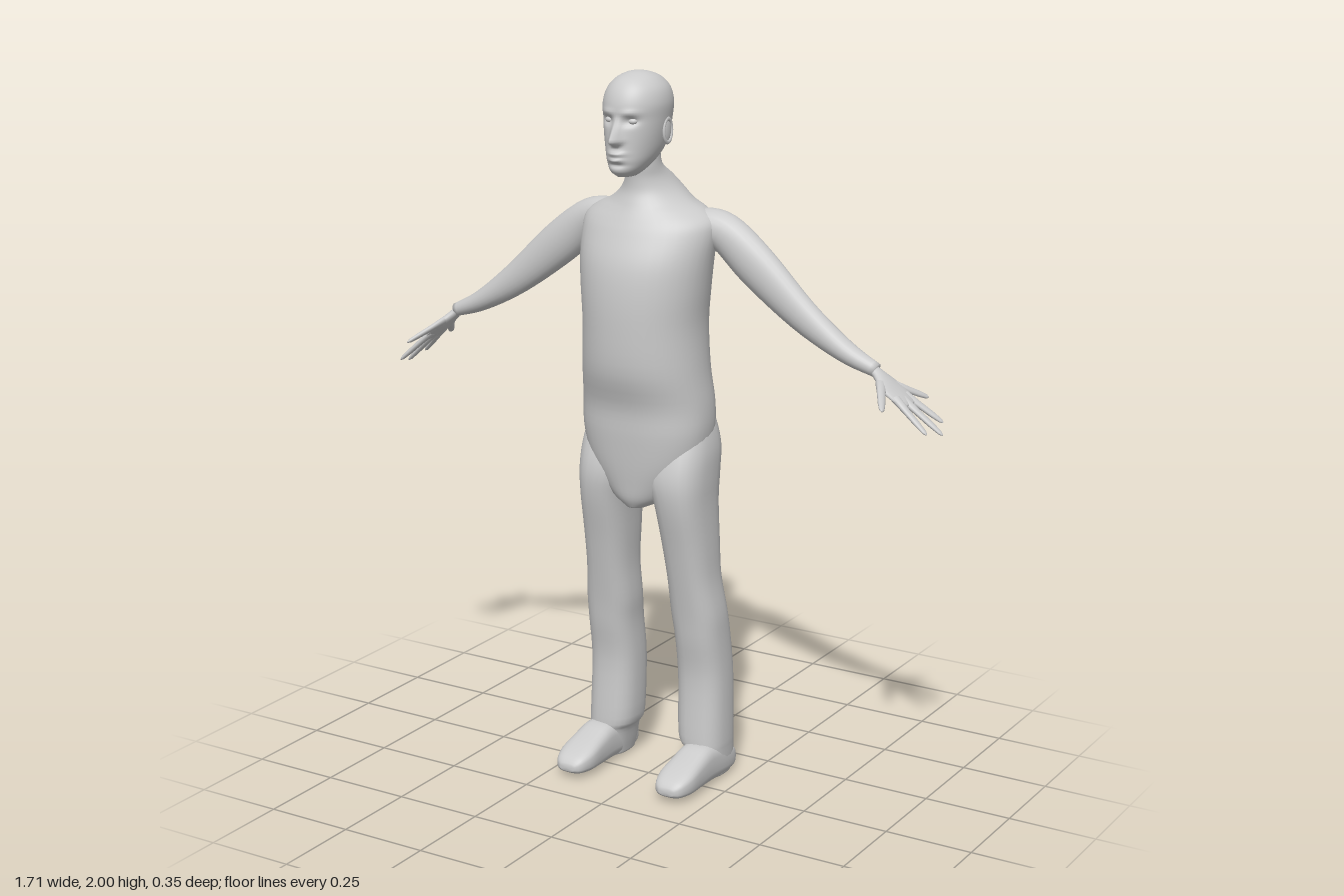
import * as THREE from 'three';

const MAT = new THREE.MeshStandardMaterial({ color: 0xcccccc, side: THREE.DoubleSide });
const V = (x, y, z) => new THREE.Vector3(x, y, z);

// Catmull-Rom interpolation of numeric rows, n steps per span
function refine(rows, n = 4) {
  const out = [];
  for (let i = 0; i < rows.length - 1; i++) {
    const [p, a, b, q] = [-1, 0, 1, 2].map(k => rows[Math.min(rows.length - 1, Math.max(0, i + k))]);
    for (let s = 0; s < n; s++) {
      const t = s / n;
      out.push(a.map((v, k) => {
        const c1 = b[k] - p[k];
        const c2 = 2 * p[k] - 5 * v + 4 * b[k] - q[k];
        const c3 = 3 * (v - b[k]) + q[k] - p[k];
        return v + 0.5 * t * (c1 + t * (c2 + t * c3));
      }));
    }
  }
  out.push(rows[rows.length - 1]);
  return out;
}

// Superelliptic ring: centre c, axes u and v
function ring(c, u, v, seg, n = 2) {
  const pow = t => Math.sign(t) * Math.abs(t) ** (2 / n);
  return Array.from({ length: seg }, (_, j) => {
    const a = j / seg * Math.PI * 2;
    return c.clone().addScaledVector(u, pow(Math.cos(a))).addScaledVector(v, pow(Math.sin(a)));
  });
}

// Closed skin over rings; side -1 mirrors it in x
function loft(name, rings, side = 1) {
  const seg = rings[0].length, pos = [], idx = [];
  const put = p => pos.push(p.x * side, p.y, p.z);
  const tri = (a, b, c) => (side > 0 ? idx.push(a, b, c) : idx.push(a, c, b));
  rings.forEach(r => r.forEach(put));
  for (let i = 0; i < rings.length - 1; i++) {
    for (let j = 0; j < seg; j++) {
      const a = i * seg + j, b = i * seg + (j + 1) % seg;
      tri(a, a + seg, b);
      tri(b, a + seg, b + seg);
    }
  }
  const last = (rings.length - 1) * seg, c0 = rings.length * seg;
  for (const r of [rings[0], rings[rings.length - 1]]) {
    put(r.reduce((s, p) => s.add(p), V(0, 0, 0)).divideScalar(seg));
  }
  for (let j = 0; j < seg; j++) {
    const k = (j + 1) % seg;
    tri(c0, j, k);
    tri(c0 + 1, last + k, last + j);
  }
  const g = new THREE.BufferGeometry();
  g.setAttribute('position', new THREE.Float32BufferAttribute(pos, 3));
  g.setIndex(idx);
  g.computeVertexNormals();
  const m = new THREE.Mesh(g, MAT);
  m.name = name;
  return m;
}

// Horizontal rings from rows [y, centre x, half width, front z, back z, optional squareness]
const stack = (rows, seg, n, steps) => refine(rows, steps).map(([y, x, w, f, b, e = n]) =>
  ring(V(x, y, (f + b) / 2), V(w, 0, 0), V(0, 0, (f - b) / 2), seg, e));

// Rings along a path in the xy plane, rows [x, y, z, half thickness, half width]
function limb(rows, seg, steps) {
  const r = refine(rows, steps);
  return r.map(([x, y, z, h, w], i) => {
    const a = r[Math.max(0, i - 1)], b = r[Math.min(r.length - 1, i + 1)];
    const d = V(b[0] - a[0], b[1] - a[1], 0).normalize();
    return ring(V(x, y, z), V(0, 0, w), V(-d.y * h, d.x * h, 0), seg);
  });
}

function makeHead() {
  const rings = stack([
    [1.73, 0, 0.022, 0.125, 0.05], [1.745, 0, 0.04, 0.144, 0.02], [1.77, 0, 0.057, 0.147, -0.02],
    [1.8, 0, 0.069, 0.145, -0.052], [1.84, 0, 0.078, 0.143, -0.066], [1.88, 0, 0.084, 0.14, -0.074],
    [1.92, 0, 0.087, 0.138, -0.075], [1.955, 0, 0.078, 0.124, -0.064], [1.98, 0, 0.057, 0.1, -0.04],
    [1.994, 0, 0.032, 0.065, -0.005], [1.999, 0, 0.008, 0.038, 0.022],
  ], 80, 2.05, 7);
  const bump = (x, y, sx, sy) => Math.exp(-((x / sx) ** 2) - (y / sy) ** 2);
  const clamp = THREE.MathUtils.clamp;
  // Nose, eye sockets, brow, lips and chin are pushed out of the front of the skull
  for (const p of rings.flat()) {
    if (p.z < 0.07) continue;
    const { x, y } = p, ax = Math.abs(x);
    const nose = y > 1.825 ? clamp((1.89 - y) / 0.065, 0, 1) : clamp((y - 1.81) / 0.015, 0, 1);
    p.z += 0.036 * nose * Math.exp(-((x / (0.008 + 0.008 * nose)) ** 2))
      - 0.013 * bump(ax - 0.034, y - 1.878, 0.018, 0.011)
      + 0.005 * bump(ax - 0.034, y - 1.9, 0.025, 0.008)
      + 0.013 * bump(x, y - 1.793, 0.022, 0.006)
      + 0.012 * bump(x, y - 1.777, 0.018, 0.006)
      - 0.006 * bump(x, y - 1.763, 0.025, 0.006);
  }
  return loft('head', rings);
}

function ellipsoid(name, pos, scale) {
  const m = new THREE.Mesh(new THREE.SphereGeometry(1, 20, 14).scale(...scale), MAT);
  m.name = name;
  m.position.set(...pos);
  return m;
}

function makeHand(side, dx, dy) {
  const hand = new THREE.Group();
  hand.name = side > 0 ? 'leftHand' : 'rightHand';
  const d = V(dx, dy, 0).normalize(), n = V(-d.y, d.x, 0);
  const at = (l, z) => V(0.66, 1.258, z).addScaledVector(d, l);
  // Palm rows: distance from wrist, centre z, half width, half thickness
  const palm = refine([[-0.015, -0.06, 0.015, 0.012], [0.015, -0.06, 0.022, 0.013], [0.055, -0.053, 0.045, 0.013],
    [0.09, -0.055, 0.05, 0.011], [0.12, -0.055, 0.044, 0.009], [0.135, -0.056, 0.036, 0.005]], 3)
    .map(([l, z, w, h]) => ring(at(l, z), V(0, 0, w), n.clone().multiplyScalar(h), 20));
  hand.add(loft('palm', palm, side));
  // Digits: root (l, z) to tip (l, z)
  [['thumb', 0.045, -0.03, 0.115, 0.077], ['indexFinger', 0.1, -0.026, 0.228, 0.002],
    ['middleFinger', 0.11, -0.054, 0.25, -0.058], ['ringFinger', 0.1, -0.08, 0.22, -0.112],
    ['littleFinger', 0.065, -0.08, 0.138, -0.16]].forEach(([name, l0, z0, l1, z1]) => {
    const a = at(l0, z0), b = at(l1, z1), dir = b.clone().sub(a).normalize();
    const u = n.clone().cross(dir).negate();
    const rings = [[0, 0.016], [0.35, 0.0125], [0.7, 0.011], [0.93, 0.008], [1, 0.003]].map(([t, w]) =>
      ring(a.clone().lerp(b, t), u.clone().multiplyScalar(w), n.clone().multiplyScalar(w * 0.65), 12));
    hand.add(loft(name, rings, side));
  });
  return hand;
}

export function createModel() {
  const body = new THREE.Group();
  body.name = 'standingMan';
  body.position.x = -0.012;

  // Trunk from crotch to neck
  body.add(loft('torso', stack([
    [0.808, 0, 0.03, 0.072, 0.0, 2], [0.835, 0, 0.085, 0.086, -0.07, 2], [0.88, 0, 0.13, 0.094, -0.125, 2.2],
    [0.94, 0, 0.168, 0.102, -0.146, 2.3], [1.02, 0, 0.187, 0.11, -0.157, 2.3], [1.1, 0, 0.188, 0.117, -0.163, 2.2],
    [1.2, 0, 0.178, 0.148, -0.165, 2.1], [1.32, 0, 0.172, 0.156, -0.165, 2.1], [1.42, 0, 0.181, 0.154, -0.165, 2.05],
    [1.5, 0, 0.19, 0.141, -0.165, 2], [1.57, 0, 0.198, 0.112, -0.166, 1.9], [1.605, 0, 0.192, 0.094, -0.166, 1.8],
    [1.63, 0, 0.16, 0.08, -0.163, 1.75], [1.65, 0, 0.118, 0.07, -0.153, 1.8], [1.68, 0, 0.082, 0.058, -0.136, 1.9],
    [1.715, 0, 0.057, 0.056, -0.1, 2], [1.75, 0, 0.047, 0.06, -0.05, 2], [1.8, 0, 0.045, 0.06, -0.04, 2],
  ], 40, 2, 4)));

  body.add(makeHead());

  for (const s of [1, -1]) {
    const side = s > 0 ? 'left' : 'right';

    body.add(ellipsoid(side + 'Eye', [s * 0.034, 1.878, 0.115], [0.014, 0.009, 0.012]));
    // Ear with raised rim
    const ear = ellipsoid(side + 'Ear', [s * 0.078, 1.845, 0.018], [0.007, 0.034, 0.02]);
    const rim = new THREE.Mesh(new THREE.TorusGeometry(0.02, 0.004, 8, 24)
      .scale(1, 1.55, 1).rotateY(Math.PI / 2), MAT);
    rim.name = 'earRim';
    rim.position.x = s * 0.004;
    ear.add(rim);
    body.add(ear);

    body.add(loft(side + 'Arm', limb([
      [0.06, 1.6, -0.06, 0.03, 0.05], [0.13, 1.588, -0.064, 0.045, 0.055], [0.21, 1.571, -0.067, 0.054, 0.048],
      [0.31, 1.492, -0.062, 0.06, 0.042], [0.45, 1.378, -0.058, 0.046, 0.034], [0.575, 1.297, -0.06, 0.03, 0.031],
      [0.668, 1.257, -0.06, 0.019, 0.019],
    ], 24, 5), s));
    body.add(s > 0 ? makeHand(s, 0.2, -0.145) : makeHand(s, 0.175, -0.165));

    body.add(loft(side + 'Leg', stack([
      [0.008, 0.16, 0.047, -0.03, -0.162], [0.04, 0.16, 0.054, -0.02, -0.17], [0.09, 0.156, 0.061, -0.014, -0.17],
      [0.13, 0.147, 0.071, -0.012, -0.171],
      [0.3, 0.143, 0.072, -0.018, -0.171], [0.42, 0.142, 0.071, 0.0, -0.156], [0.5, 0.138, 0.073, 0.012, -0.14],
      [0.6, 0.132, 0.067, 0.031, -0.126], [0.7, 0.127, 0.069, 0.052, -0.125], [0.82, 0.12, 0.074, 0.08, -0.126],
      [0.9, 0.108, 0.088, 0.086, -0.137], [0.98, 0.1, 0.094, 0.066, -0.144], [1.06, 0.095, 0.08, 0.03, -0.125],
      [1.1, 0.09, 0.06, 0.0, -0.1],
    ], 28, 2.5, 4), s));

    // Shoe rows: z, half width, top y, bottom y
    const shoe = refine([[0.157, 0.022, 0.042, 0.024], [0.142, 0.042, 0.06, 0.014], [0.1, 0.055, 0.08, 0.008],
      [0.04, 0.054, 0.1, 0.004], [-0.02, 0.053, 0.115, 0.002], [-0.1, 0.053, 0.1, 0], [-0.15, 0.048, 0.08, 0.004],
      [-0.166, 0.036, 0.06, 0.01]], 3)
      .map(([z, w, t, b]) => ring(V(0.163, (t + b) / 2, z), V(w, 0, 0), V(0, (t - b) / 2, 0), 28, 3));
    body.add(loft(side + 'Shoe', shoe, s));
  }

  const model = new THREE.Group();
  model.add(body);
  return model;
}
